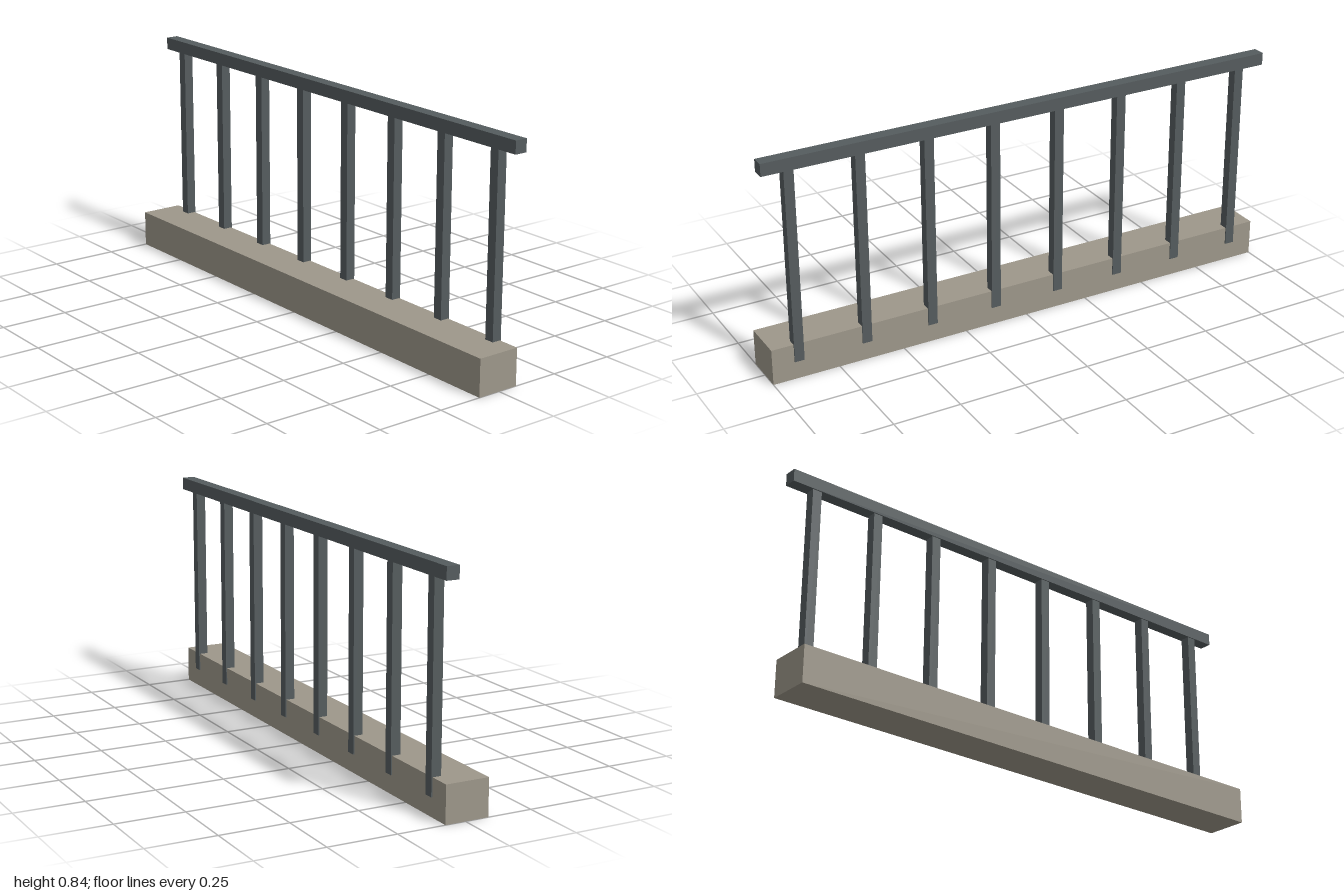
import * as THREE from 'three';

const stone = new THREE.MeshStandardMaterial({ color: 0x9d978a });
const metal = new THREE.MeshStandardMaterial({ color: 0x555c5e });

// Box given by its minimum and maximum corners
function block(name, material, [x0, y0, z0], [x1, y1, z1]) {
  const mesh = new THREE.Mesh(new THREE.BoxGeometry(x1 - x0, y1 - y0, z1 - z0), material);
  mesh.position.set((x0 + x1) / 2, (y0 + y1) / 2, (z0 + z1) / 2);
  mesh.name = name;
  return mesh;
}

export function createModel() {
  const model = new THREE.Group();
  model.name = 'railing';

  // Stone kerb and the handrail along its back edge
  model.add(block('kerb', stone, [-1, 0, -0.075], [1, 0.135, 0.086]));
  model.add(block('handrail', metal, [-1, 0.791, -0.086], [1, 0.837, -0.039]));

  // Evenly spaced square posts, sunk into the kerb and standing slightly proud of its back
  const posts = new THREE.Group();
  posts.name = 'posts';
  const count = 8, reach = 0.9, half = 0.018;
  for (let i = 0; i < count; i++) {
    const x = -reach + (2 * reach * i) / (count - 1);
    posts.add(block('post', metal, [x - half, 0.068, -0.079], [x + half, 0.791, -0.043]));
  }
  model.add(posts);

  return model;
}
